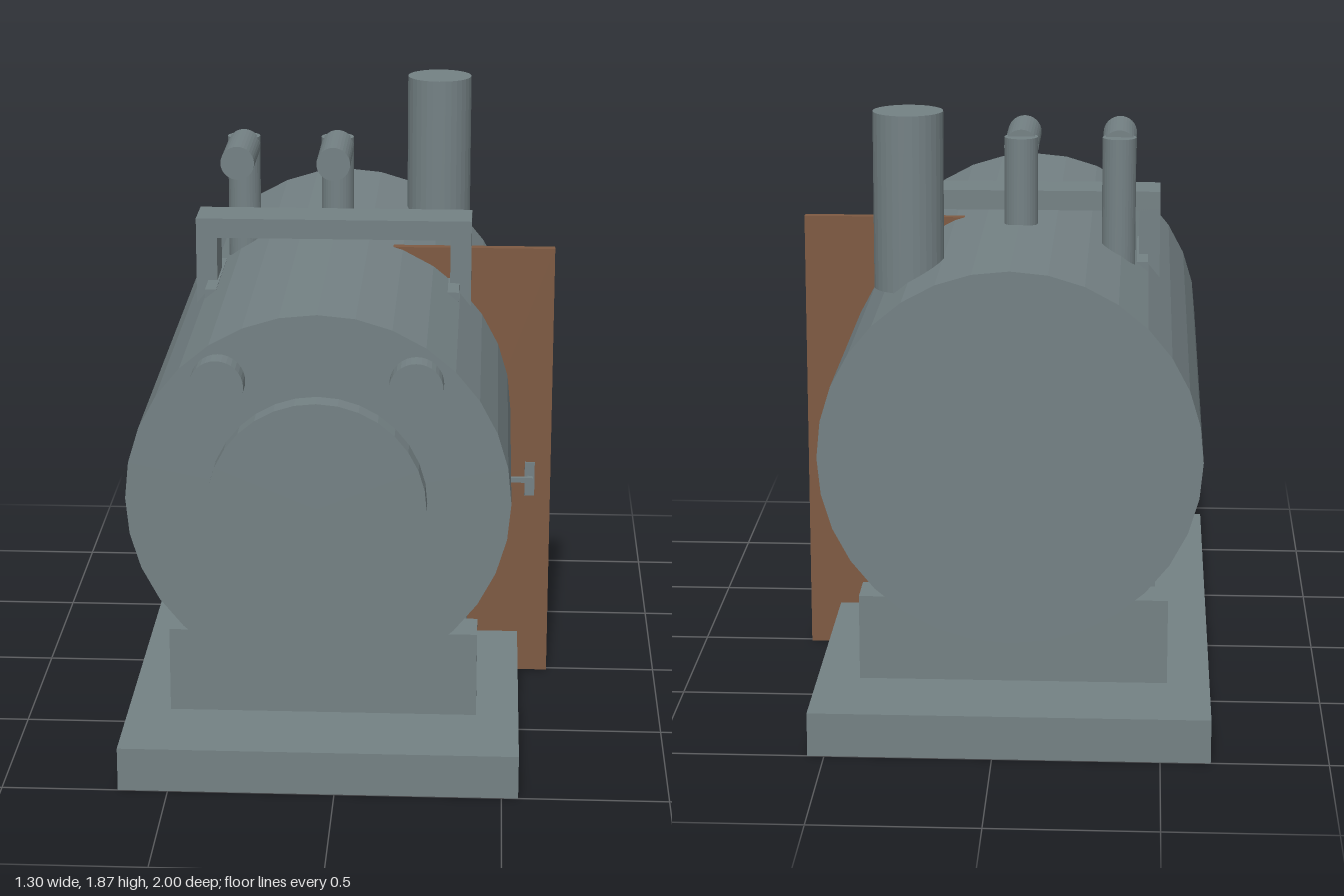
import * as THREE from 'three';

export function createModel() {
  const root = new THREE.Group();
  root.name = 'boiler';
  const steel = new THREE.MeshStandardMaterial({ color: 0x748184, flatShading: true });
  steel.name = 'grey steel';
  const wood = new THREE.MeshStandardMaterial({ color: 0x7e5a42, flatShading: true });
  wood.name = 'brown wood';

  const add = (name, geometry, material = steel) => {
    const mesh = new THREE.Mesh(geometry, material);
    mesh.name = name;
    root.add(mesh);
    return mesh;
  };
  // Box given by its limits on each axis
  const box = (name, [x0, x1], [y0, y1], [z0, z1], material) =>
    add(name, new THREE.BoxGeometry(x1 - x0, y1 - y0, z1 - z0), material)
      .position.set((x0 + x1) / 2, (y0 + y1) / 2, (z0 + z1) / 2);
  // Cylinder lying along z
  const cylZ = (name, x, y, r, z0, z1) => {
    const g = new THREE.CylinderGeometry(r, r, z1 - z0, 32).rotateX(Math.PI / 2);
    add(name, g).position.set(x, y, (z0 + z1) / 2);
  };
  // Upright cylinder
  const cylY = (name, x, z, r, y0, y1) =>
    add(name, new THREE.CylinderGeometry(r, r, y1 - y0, 32)).position.set(x, (y0 + y1) / 2, z);

  const cx = -0.05; // centre line of the vessel

  // Base and saddles
  box('base', [-0.65, 0.55], [0, 0.135], [-1, 1]);
  box('frontSaddle', [-0.52, 0.42], [0.13, 0.4], [0.57, 0.7]);
  box('backSaddle', [-0.52, 0.42], [0.13, 0.4], [-0.7, -0.57]);

  // Vessel with front hatch and two ports
  cylZ('vessel', cx, 0.905, 0.565, -0.93, 0.93);
  cylZ('hatch', cx, 0.905, 0.32, 0.92, 1);
  for (const s of [-1, 1]) cylZ('port', cx + s * 0.287, 1.27, 0.079, 0.92, 1);

  // Frame straddling the vessel, with a cross-shaped column on each side
  box('frameBeam', [-0.484, 0.384], [1.475, 1.537], [-0.078, 0.078]);
  for (const s of [-1, 1]) {
    const span = (a, b) => [cx + s * a, cx + s * b].sort((p, q) => p - q);
    box('framePost', span(0.368, 0.434), [0.13, 1.48], [-0.078, 0.078]);
    box('frameFlange', span(0.362, 0.397), [0.13, 1.337], [-0.195, 0.19]);
  }

  // Bent outlet pipes
  for (const x of [-0.355, -0.053]) {
    cylY('pipeRiser', x, -0.232, 0.052, 1.3, 1.737);
    cylZ('pipeOutlet', x, 1.705, 0.053, -0.232, 0.032);
  }

  // Chimney
  cylY('chimney', 0.268, -0.57, 0.105, 1.34, 1.872);

  // Door with a handle on both faces
  box('door', [0.12, 0.648], [0, 1.436], [-0.015, 0.015], wood);
  box('handlePlate', [0.565, 0.597], [0.612, 0.725], [-0.023, 0.023]);
  box('handleSpindle', [0.574, 0.588], [0.664, 0.68], [-0.047, 0.047]);
  for (const s of [-1, 1]) {
    box('handleLever', [0.515, 0.592], [0.664, 0.68], s > 0 ? [0.032, 0.047] : [-0.047, -0.032]);
  }
  return root;
}
